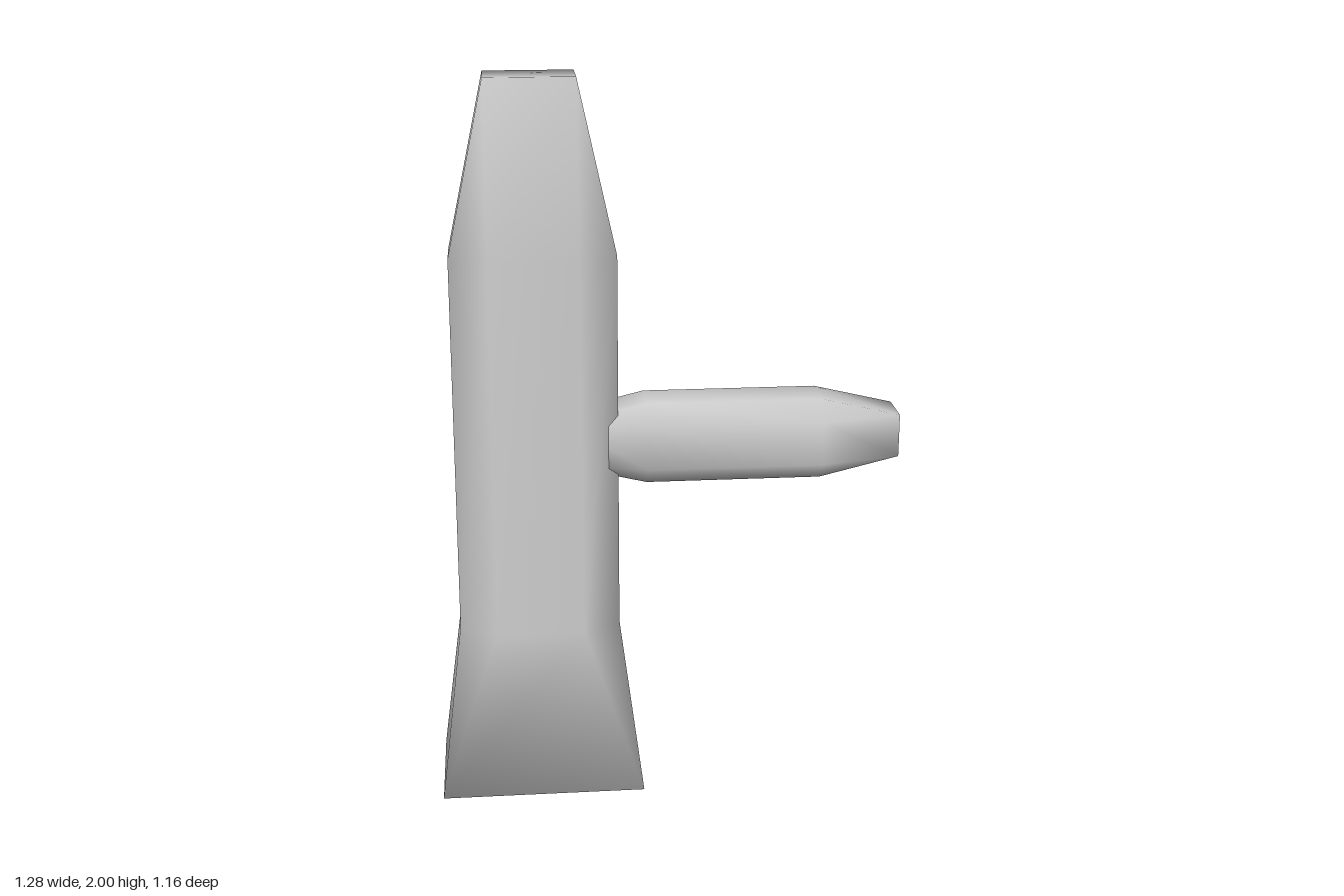
import * as THREE from 'three';
import { mergeVertices } from 'three/addons/utils/BufferGeometryUtils.js';

// Ring of 8 points: outer half sizes (w, d), inner half sizes (cw, cd) set the chamfer.
// Equal inner and outer sizes make a plain rectangle.
function ring(y, w, d, cw = w, cd = d) {
  return [[w, -cd], [w, cd], [cw, d], [-cw, d], [-w, cd], [-w, -cd], [-cw, -d], [cw, -d]]
    .map(([x, z]) => [x, y, z]);
}

// Closed, smooth-shaded skin through a stack of rings along y
function loft(rings) {
  const index = [];
  const n = 8;
  const last = (rings.length - 1) * n;
  for (let r = 0; r < rings.length - 1; r++) {
    for (let i = 0; i < n; i++) {
      const a = r * n + i;
      const b = r * n + (i + 1) % n;
      index.push(a, a + n, b, b, a + n, b + n);
    }
  }
  for (let i = 1; i < n - 1; i++) {
    index.push(0, i, i + 1, last, last + i + 1, last + i);
  }
  let geometry = new THREE.BufferGeometry();
  geometry.setAttribute('position', new THREE.Float32BufferAttribute(rings.flat(2), 3));
  geometry.setIndex(index);
  geometry = mergeVertices(geometry, 1e-4);
  // drop triangles collapsed by the rectangular ends
  const idx = geometry.index.array;
  const kept = [];
  for (let i = 0; i < idx.length; i += 3) {
    const [a, b, c] = [idx[i], idx[i + 1], idx[i + 2]];
    if (a !== b && b !== c && c !== a) kept.push(a, b, c);
  }
  geometry.setIndex(kept);
  geometry.computeVertexNormals();
  return geometry;
}

export function createModel() {
  const model = new THREE.Group();
  model.name = 'branchedPost';
  const material = new THREE.MeshStandardMaterial({ color: 0xcccccc });
  const cx = -0.36;
  const cz = 0.41;

  // Upright: flared rectangular foot, chamfered shaft, tapered top
  const post = new THREE.Mesh(loft([
    ring(0, 0.283, 0.168),
    ring(0.48, 0.222, 0.137, 0.12, 0.069),
    ring(1.53, 0.222, 0.137, 0.12, 0.069),
    ring(2, 0.12, 0.069),
  ]), material);
  post.name = 'post';
  post.position.set(cx, 0, cz);
  model.add(post);

  // Two identical arms, tapered at both ends and rooted inside the post
  const armGeometry = loft([
    ring(-0.46, 0.06, 0.06),
    ring(-0.24, 0.113, 0.113, 0.06, 0.06),
    ring(0.24, 0.113, 0.113, 0.06, 0.06),
    ring(0.46, 0.06, 0.06),
  ]);
  const leftArm = new THREE.Mesh(armGeometry, material);
  leftArm.name = 'leftArm';
  leftArm.rotation.z = -Math.PI / 2;
  leftArm.position.set(0.18, 1.003, cz);

  const rearArm = new THREE.Mesh(armGeometry, material);
  rearArm.name = 'rearArm';
  rearArm.rotation.x = -Math.PI / 2;
  rearArm.position.set(cx, 1.003, -0.12);
  model.add(leftArm, rearArm);

  return model;
}
